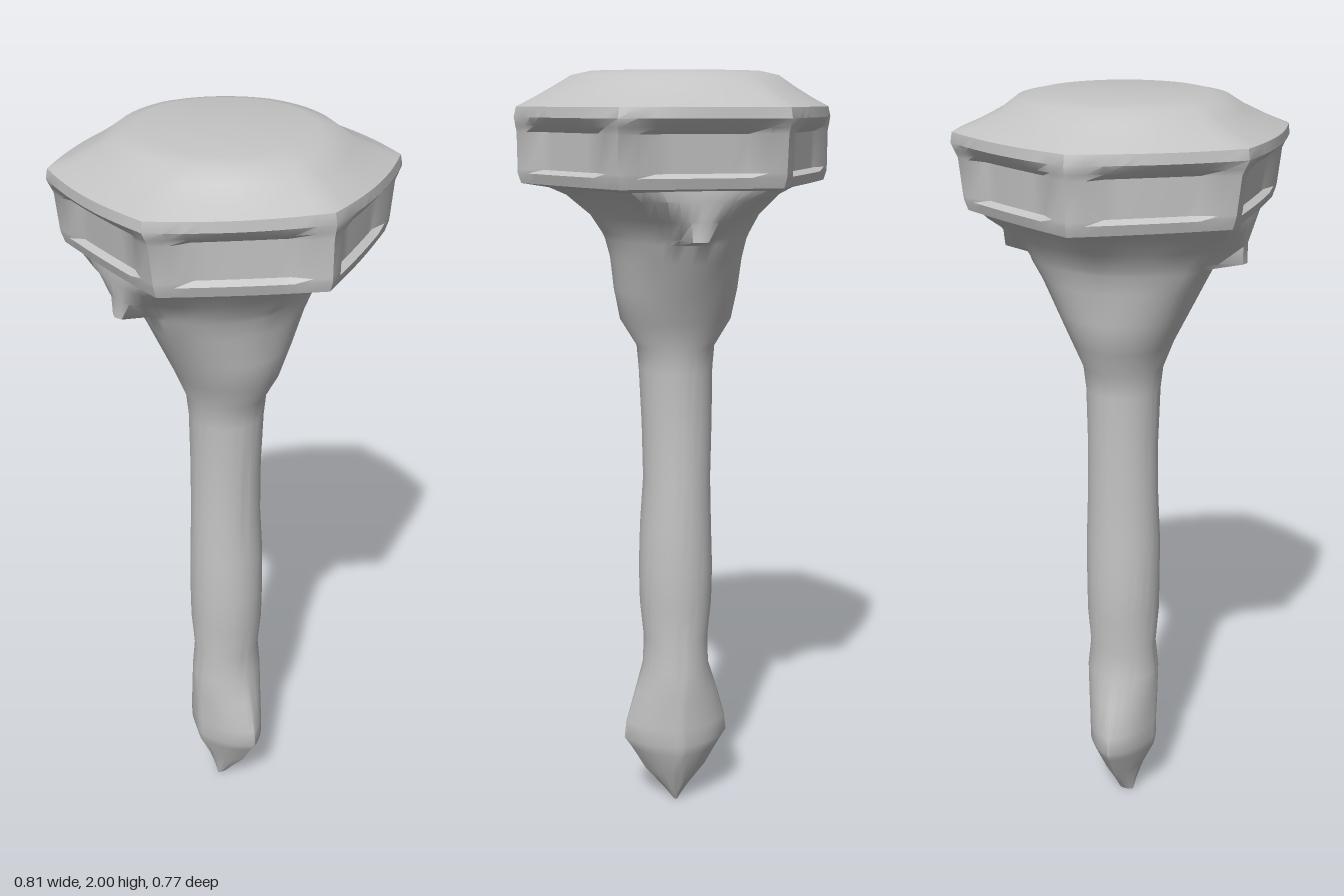
import * as THREE from 'three';
import { toCreasedNormals } from 'three/addons/utils/BufferGeometryUtils.js';

const SEGMENTS = 60;

// Radius factor of a hexagon with flats at front and back (corners at 1)
function hexFactor(a) {
  const s = Math.PI / 3;
  const m = ((a + s / 2) % s + s) % s - s / 2;
  return { r: Math.cos(s / 2) / Math.cos(m), fromMid: Math.abs(m) };
}

// One cross-section: half width, half depth, hexagon blend and extras
function section({ y, x, z, hex = 0, dx = 0, dz = 0, inset = 0, flap = 0, flapWidth = 1, diamond = 0 }) {
  const ring = [];
  const zScale = z / (1 - hex + hex * Math.cos(Math.PI / 6));
  for (let j = 0; j < SEGMENTS; j++) {
    const a = j / SEGMENTS * Math.PI * 2;
    const { r, fromMid } = hexFactor(a);
    let f = 1 - hex + hex * r;
    // sunken panel in the middle of each hexagon side
    if (fromMid < 0.4) f -= inset;
    // diamond blend gives the pommel its ridges
    f *= 1 - diamond + diamond / (Math.abs(Math.sin(a)) + Math.abs(Math.cos(a)));
    // pointed flap below the front and back sides
    const off = Math.min(Math.abs(Math.sin(a / 2)), Math.abs(Math.cos(a / 2))) * 2;
    const push = flap * Math.min(1, Math.max(0, 1.6 * (1 - off / flapWidth)));
    ring.push([Math.sin(a) * f * x + dx, y, Math.cos(a) * (f * zScale + push) + dz]);
  }
  return ring;
}

// Skin a list of sections from bottom to top, closing both ends
function loft(list, crease) {
  const pos = [], idx = [];
  list.forEach(s => section(s).forEach(p => pos.push(...p)));
  for (let i = 0; i < list.length - 1; i++) {
    for (let j = 0; j < SEGMENTS; j++) {
      const k = (j + 1) % SEGMENTS;
      const a = i * SEGMENTS + j, b = i * SEGMENTS + k;
      idx.push(a, b, b + SEGMENTS, a, b + SEGMENTS, a + SEGMENTS);
    }
  }
  const last = (list.length - 1) * SEGMENTS;
  const lo = list[0], hi = list[list.length - 1];
  const c = pos.length / 3;
  pos.push(lo.dx || 0, lo.y, lo.dz || 0, hi.dx || 0, hi.y, hi.dz || 0);
  for (let j = 0; j < SEGMENTS; j++) {
    const k = (j + 1) % SEGMENTS;
    idx.push(c, k, j, c + 1, last + j, last + k);
  }
  const g = new THREE.BufferGeometry();
  g.setAttribute('position', new THREE.Float32BufferAttribute(pos, 3));
  g.setIndex(idx);
  return toCreasedNormals(g, crease);
}

export function createModel() {
  const group = new THREE.Group();
  const stone = new THREE.MeshStandardMaterial({ color: 0xc4c4c4 });
  stone.name = 'grey';

  const add = (name, sections, crease) => {
    const mesh = new THREE.Mesh(loft(sections, crease), stone);
    mesh.name = name;
    group.add(mesh);
  };

  // Pointed pommel, wide in x and running smoothly into the shaft and neck
  add('handle', [
    { y: 0, x: 0.008, z: 0.02, dz: 0.01 },
    { y: 0.04, x: 0.037, z: 0.035, dz: 0.005, diamond: 0.4 },
    { y: 0.1, x: 0.085, z: 0.06, diamond: 0.5 },
    { y: 0.17, x: 0.125, z: 0.092, diamond: 0.45 },
    { y: 0.2, x: 0.145, z: 0.098, diamond: 0.4 },
    { y: 0.25, x: 0.14, z: 0.098, diamond: 0.35 },
    { y: 0.34, x: 0.115, z: 0.1, diamond: 0.2 },
    { y: 0.42, x: 0.09, z: 0.1 },
    { y: 0.5, x: 0.088, z: 0.091 },
    { y: 0.6, x: 0.098, z: 0.099 },
    { y: 0.7, x: 0.1, z: 0.1 },
    { y: 0.82, x: 0.096, z: 0.1 },
    { y: 0.95, x: 0.09, z: 0.095, dx: -0.003 },
    { y: 1.1, x: 0.093, z: 0.093, dx: -0.003 },
    { y: 1.25, x: 0.097, z: 0.097 },
    { y: 1.31, x: 0.102, z: 0.104 },
    { y: 1.38, x: 0.145, z: 0.13 },
    { y: 1.46, x: 0.16, z: 0.17 },
    { y: 1.54, x: 0.168, z: 0.21 },
    { y: 1.59, x: 0.183, z: 0.235, hex: 0.2 },
    { y: 1.605, x: 0.19, z: 0.24, hex: 0.2, flap: 0.08, flapWidth: 0.25 },
    { y: 1.65, x: 0.22, z: 0.26, hex: 0.4, flap: 0.055, flapWidth: 0.5 },
    { y: 1.7, x: 0.28, z: 0.315, hex: 0.7, flap: 0.012, flapWidth: 0.7 },
    { y: 1.735, x: 0.36, z: 0.325, hex: 0.9 },
  ], 0.75);

  // Six-sided head with sunken side panels, a rim and a shallow domed top
  add('head', [
    { y: 1.72, x: 0.33, z: 0.315, hex: 0.9 },
    { y: 1.73, x: 0.392, z: 0.335, hex: 0.9 },
    { y: 1.755, x: 0.4, z: 0.343, hex: 0.9 },
    { y: 1.765, x: 0.4, z: 0.345, hex: 0.9, inset: 0.045 },
    { y: 1.855, x: 0.4, z: 0.355, hex: 0.9, inset: 0.045 },
    { y: 1.87, x: 0.403, z: 0.365, hex: 0.85 },
    { y: 1.89, x: 0.406, z: 0.386, hex: 0.65 },
    { y: 1.915, x: 0.4, z: 0.385, hex: 0.6 },
    { y: 1.935, x: 0.36, z: 0.34, hex: 0.5 },
    { y: 1.965, x: 0.305, z: 0.285, hex: 0.3 },
    { y: 1.99, x: 0.262, z: 0.255, hex: 0.1 },
    { y: 2, x: 0.215, z: 0.21 },
  ], 0.6);

  return group;
}
